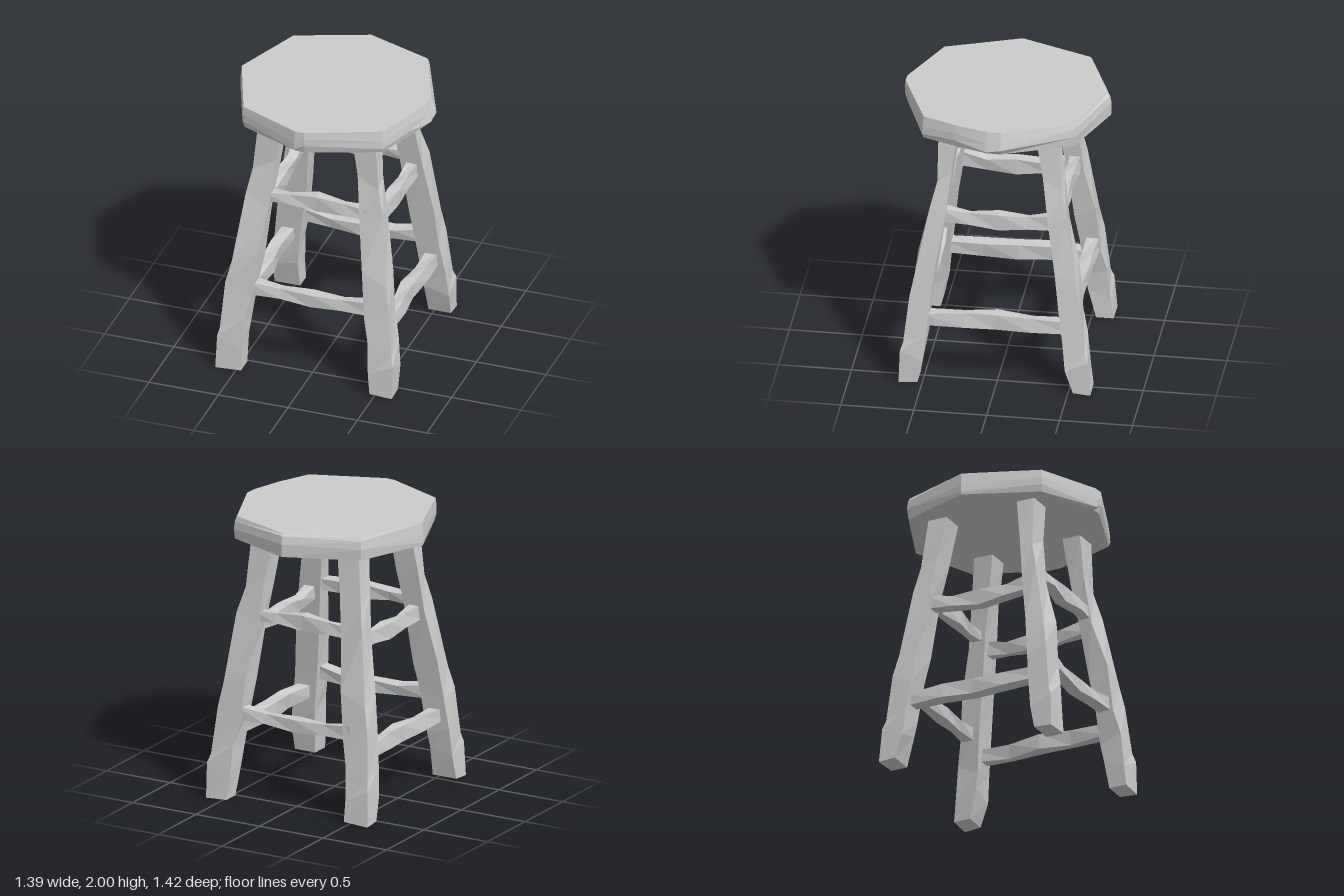
import * as THREE from 'three';

const material = new THREE.MeshStandardMaterial({ color: 0xcccccc, flatShading: true });

// Closed skin over equal-length rings of [x, y, z], capped at both ends.
function loft(name, rings) {
  const pos = [];
  const tri = (...pts) => pts.forEach((p) => pos.push(...p));
  const n = rings[0].length;
  const middle = (ring) => [0, 1, 2].map((k) => ring.reduce((s, p) => s + p[k], 0) / n);
  const first = rings[0], last = rings[rings.length - 1];
  const c0 = middle(first), c1 = middle(last);
  for (let j = 0; j < n; j++) {
    const k = (j + 1) % n;
    for (let i = 0; i < rings.length - 1; i++) {
      const a = rings[i], b = rings[i + 1];
      tri(a[j], a[k], b[k]);
      tri(a[j], b[k], b[j]);
    }
    tri(c0, first[k], first[j]);
    tri(c1, last[j], last[k]);
  }
  const geometry = new THREE.BufferGeometry();
  geometry.setAttribute('position', new THREE.Float32BufferAttribute(pos, 3));
  geometry.computeVertexNormals();
  const mesh = new THREE.Mesh(geometry, material);
  mesh.name = name;
  return mesh;
}

// Rough-hewn seat: an uneven octagon with one extra chipped corner.
function makeSeat() {
  const outline = [
    [0.69, 0.05], [0.695, -0.05], [0.48, -0.53], [0, -0.71], [-0.51, -0.51],
    [-0.7, 0], [-0.5, 0.515], [-0.06, 0.705], [0.01, 0.705], [0.51, 0.515], [0.61, 0.27],
  ];
  const topScale = [0.95, 0.95, 0.97, 0.96, 0.97, 0.985, 0.99, 0.99, 0.995, 0.98, 0.98];
  const lowScale = [0.965, 0.96, 0.99, 0.995, 0.985, 0.995, 0.98, 0.97, 0.975, 0.985, 0.98];
  const midY = [1.9, 1.92, 1.95, 1.97, 1.96, 1.9, 1.93, 1.9, 1.94, 1.91, 1.93];
  const ring = (scale, y) => outline.map(([x, z], i) => [x * scale(i), y(i), z * scale(i)]);
  return loft('seat', [
    ring((i) => lowScale[i], () => 1.84),
    ring(() => 1, (i) => midY[i] - 0.04),
    ring((i) => (1 + topScale[i]) / 2 + 0.005, (i) => midY[i] + 0.015),
    ring((i) => topScale[i], () => 2),
  ]);
}

// Leg edges at each height: inner and outer distance from the centre line.
const heights = [0.01, 0.2, 0.35, 0.6, 0.85, 1.25, 1.52, 1.86];
const edges = {
  left: [[0.465, 0.625], [0.45, 0.63], [0.44, 0.612], [0.402, 0.578], [0.375, 0.552], [0.325, 0.495], [0.295, 0.445], [0.25, 0.42]],
  right: [[0.46, 0.645], [0.46, 0.635], [0.448, 0.622], [0.407, 0.597], [0.37, 0.56], [0.33, 0.495], [0.295, 0.46], [0.25, 0.42]],
  front: [[0.53, 0.66], [0.495, 0.65], [0.475, 0.63], [0.452, 0.592], [0.42, 0.56], [0.36, 0.465], [0.325, 0.42], [0.28, 0.415]],
  back: [[0.535, 0.655], [0.48, 0.635], [0.462, 0.612], [0.432, 0.575], [0.4, 0.545], [0.345, 0.47], [0.305, 0.43], [0.25, 0.39]],
};

function makeLeg(side, end) {
  const sx = side === 'left' ? 1 : -1, sz = end === 'front' ? 1 : -1;
  const rings = heights.map((h, i) => {
    const [x0, x1] = edges[side][i], [z0, z1] = edges[end][i];
    // Corners step up and down a little so the hewn facets look uneven.
    const lift = i > 0 && i < heights.length - 1 ? 0.045 * (i % 2 ? 1 : -1) : 0;
    const ring = [
      [sx * x1, h + lift, sz * z1], [sx * x1, h - lift * 0.5, sz * z0],
      [sx * x0, h + lift * 0.5, sz * z0], [sx * x0, h - lift, sz * z1],
    ];
    if (i === 0) ring[0][1] = 0;
    return sx * sz > 0 ? ring : ring.reverse();
  });
  return loft(`${end}${side === 'left' ? 'Left' : 'Right'}Leg`, rings);
}

// Rungs: distance from the centre, depth, and rows of [along, bottom, top, bow].
const rungs = {
  front: [
    { dist: 0.41, depth: 0.08, rows: [[-0.37, 1.25, 1.32, 0], [-0.2, 1.25, 1.33, 0.01], [0, 1.235, 1.345, -0.01], [0.2, 1.235, 1.335, 0.01], [0.37, 1.24, 1.32, 0]] },
    { dist: 0.525, depth: 0.09, rows: [[-0.46, 0.565, 0.665, 0], [-0.22, 0.55, 0.635, -0.015], [0, 0.54, 0.63, -0.02], [0.22, 0.545, 0.635, -0.01], [0.46, 0.565, 0.665, 0]] },
  ],
  side: [
    { dist: 0.415, depth: 0.08, rows: [[-0.4, 1.17, 1.27, 0], [-0.2, 1.14, 1.235, -0.01], [0, 1.125, 1.24, -0.015], [0.2, 1.135, 1.235, -0.01], [0.4, 1.16, 1.27, 0]] },
    { dist: 0.515, depth: 0.09, rows: [[-0.5, 0.42, 0.505, 0], [-0.22, 0.41, 0.53, 0.01], [0, 0.415, 0.525, -0.015], [0.24, 0.405, 0.52, 0.005], [0.5, 0.425, 0.51, 0]] },
  ],
};

function makeRung(name, { dist, depth, rows }, turn) {
  const rings = rows.map(([x, low, high, bow], i) => {
    const z = dist + bow, d = depth / 2, skew = i % 2 ? 0.015 : 0;
    return [
      [x, high - skew, z - d], [x, high, z + d - skew],
      [x, low + skew, z + d], [x, low, z - d + skew],
    ];
  });
  const mesh = loft(name, rings);
  mesh.rotation.y = turn;
  return mesh;
}

export function createModel() {
  const stool = new THREE.Group();
  stool.name = 'stool';
  stool.add(makeSeat());
  for (const side of ['left', 'right'])
    for (const end of ['front', 'back']) stool.add(makeLeg(side, end));

  // The same two rungs repeat on opposite sides.
  ['upper', 'lower'].forEach((level, i) => {
    stool.add(
      makeRung(`${level}FrontRung`, rungs.front[i], 0),
      makeRung(`${level}BackRung`, rungs.front[i], Math.PI),
      makeRung(`${level}LeftRung`, rungs.side[i], Math.PI / 2),
      makeRung(`${level}RightRung`, rungs.side[i], -Math.PI / 2),
    );
  });
  return stool;
}
